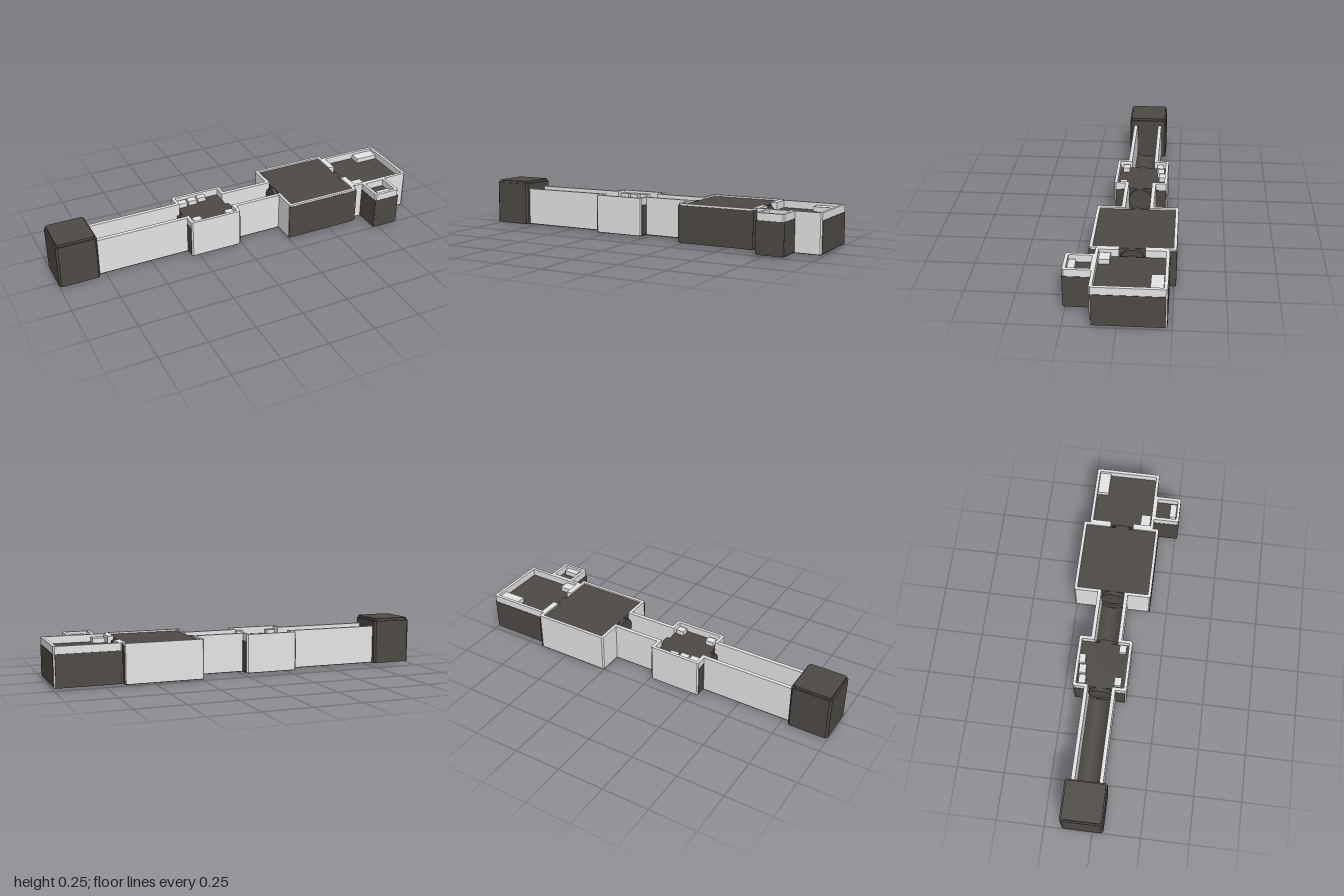
import * as THREE from 'three';

export function createModel() {
  const root = new THREE.Group();
  const dark = new THREE.MeshStandardMaterial({ color: 0x4e4a45, side: THREE.DoubleSide });
  dark.name = 'darkHull';
  const light = new THREE.MeshStandardMaterial({ color: 0xe6e6e6, side: THREE.DoubleSide });
  light.name = 'lightWall';

  const BASE = 0.012, TOP = 0.213, T = 0.016, C = 0.007; // wall base, top, thickness, corner cut
  const GAP = [-0.112, 0.012];                            // passage limits in z

  function add(parent, name, geo, mat) {
    const m = new THREE.Mesh(geo, mat);
    m.name = name;
    parent.add(m);
    return m;
  }
  // Box from its limits
  function box(parent, name, mat, x0, x1, y0, y1, z0, z1) {
    const m = add(parent, name, new THREE.BoxGeometry(x1 - x0, y1 - y0, z1 - z0), mat);
    m.position.set((x0 + x1) / 2, (y0 + y1) / 2, (z0 + z1) / 2);
  }
  // Plan outline given as [x, z] points, raised from y0 to y1
  function prism(parent, name, mat, pts, y0, y1) {
    const shape = new THREE.Shape(pts.map(([x, z]) => new THREE.Vector2(x, -z)));
    const g = new THREE.ExtrudeGeometry(shape, { depth: y1 - y0, bevelEnabled: false });
    g.rotateX(-Math.PI / 2).translate(0, y0, 0);
    add(parent, name, g, mat);
  }
  const cutRect = (x0, x1, z0, z1, c) => [
    [x0 + c, z0], [x1 - c, z0], [x1, z0 + c], [x1, z1 - c],
    [x1 - c, z1], [x0 + c, z1], [x0, z1 - c], [x0, z0 + c]];

  // U-shaped half of a room wall; s is +1 for the front half, -1 for the back
  function halfWall(g, x0, x1, z, s, zl, zr) {
    prism(g, s > 0 ? 'frontWall' : 'backWall', light, [
      [x0, zl], [x0, z - s * C], [x0 + C, z], [x1 - C, z], [x1, z - s * C], [x1, zr],
      [x1 - T, zr], [x1 - T, z - s * T], [x0 + T, z - s * T], [x0 + T, zl]], BASE, TOP);
  }

  // Room: light wall, raised dark floor, dark base and dark cladding on chosen sides
  function room(name, { x0, x1, z0, z1, floor, clad, cladTop, inset, openLeft, openRight }) {
    const g = new THREE.Group();
    g.name = name;
    root.add(g);
    const mid = (z0 + z1) / 2;
    const l = openLeft || [mid, mid], r = openRight || [mid, mid];
    halfWall(g, x0, x1, z0, -1, l[0], r[0]);
    halfWall(g, x0, x1, z1, 1, l[1], r[1]);
    const e = 0.001;
    box(g, 'floor', dark, x0 + T - e, x1 - T + e, BASE, floor, z0 + T - e, z1 - T + e);
    prism(g, 'base', dark, cutRect(x0 + 0.002, x1 - 0.002, z0 + 0.002, z1 - 0.002, C), 0.008, BASE + e);
    // Rounded passage ends
    [[openLeft, x0, x0 + T], [openRight, x1 - T, x1]].forEach(([open, a, b]) => {
      if (!open) return;
      const rad = (open[1] - open[0]) / 2;
      const c = new THREE.CylinderGeometry(rad, rad, b - a + 0.008, 24).rotateZ(Math.PI / 2);
      add(g, 'passageEnd', c, dark).position.set((a + b) / 2, floor - rad, (open[0] + open[1]) / 2);
    });
    // Thin cladding on the outside
    const p = 0.002;
    const plates = {
      front: [x0 + inset, x1 - inset, z1 - p, z1 + p],
      back: [x0 + inset, x1 - inset, z0 - p, z0 + p],
      right: [x1 - p, x1 + p, z0 + inset, z1 - inset],
      left: [x0 - p, x0 + p, z0 + inset, z1 - inset],
    };
    clad.forEach((side) => {
      const [a, b, c, d] = plates[side];
      const open = side === 'left' ? openLeft : side === 'right' ? openRight : null;
      const spans = open ? [[c, open[0] - T], [open[1] + T, d]] : [[c, d]];
      spans.forEach(([s, t]) => box(g, side + 'Cladding', dark, a, b, BASE, cladTop, s, t));
    });
    return g;
  }

  const small = room('smallRoom', {
    x0: -0.293, x1: -0.013, z0: -0.193, z1: 0.09, floor: 0.175,
    clad: ['left', 'right'], cladTop: 0.175, inset: C, openLeft: GAP, openRight: GAP });
  room('largeRoom', {
    x0: 0.245, x1: 0.658, z0: -0.26, z1: 0.155, floor: 0.204,
    clad: ['front', 'right'], cladTop: 0.203, inset: 0, openLeft: GAP, openRight: GAP });
  const end = room('endRoom', {
    x0: 0.658, x1: 0.997, z0: -0.228, z1: 0.123, floor: 0.175,
    clad: ['right', 'back'], cladTop: 0.175, inset: C, openLeft: GAP });
  const pod = room('sidePod', {
    x0: 0.716, x1: 0.86, z0: 0.115, z1: 0.259, floor: 0.175,
    clad: ['front', 'left', 'right'], cladTop: 0.176, inset: 0 });

  // Furniture: [room, x0, x1, z0, z1]
  [
    [small, -0.27, -0.223, -0.167, -0.13], [small, -0.213, -0.167, -0.172, -0.135],
    [small, -0.157, -0.11, -0.178, -0.145], [small, -0.263, -0.218, 0.02, 0.057],
    [small, -0.08, -0.038, 0.025, 0.062], [end, 0.855, 0.978, -0.21, -0.15],
    [end, 0.68, 0.743, 0.05, 0.103], [pod, 0.75, 0.828, 0.205, 0.24],
  ].forEach(([g, a, b, c, d]) => box(g, 'furniture', light, a, b, 0.174, 0.2, c, d));

  // Corridors: two light walls on dark footings over a round dark trough with ribs
  const R = 0.066, ZC = -0.05;
  const trough = (g, name, r, x0, x1) => {
    const geo = new THREE.CylinderGeometry(r, r, x1 - x0, 20, 1, true, Math.PI, Math.PI);
    geo.rotateZ(Math.PI / 2);
    add(g, name, geo, dark).position.set((x0 + x1) / 2, R, ZC);
  };
  [[-0.8, -0.29, [-0.75, -0.44, -0.34]], [-0.016, 0.248, [0.03, 0.13]]].forEach(([x0, x1, ribs], i) => {
    const g = new THREE.Group();
    g.name = i ? 'shortCorridor' : 'longCorridor';
    root.add(g);
    [['backWall', -0.132, GAP[0]], ['frontWall', GAP[1], 0.032]].forEach(([name, z0, z1]) => {
      box(g, name, light, x0, x1, BASE, 0.212, z0, z1);
      box(g, 'wallFooting', dark, x0, x1, 0.008, BASE, z0, z1);
    });
    trough(g, 'trough', R, x0, x1);
    ribs.forEach((x) => trough(g, 'rib', R - 0.003, x - 0.004, x + 0.004));
  });

  // End block with a stepped cap
  const block = new THREE.Group();
  block.name = 'endBlock';
  root.add(block);
  prism(block, 'blockBody', dark, cutRect(-1, -0.787, -0.16, 0.057, 0.01), 0.008, 0.241);
  prism(block, 'blockCap', dark, cutRect(-0.992, -0.795, -0.152, 0.05, 0.008), 0.241, 0.254);

  return root;
}
